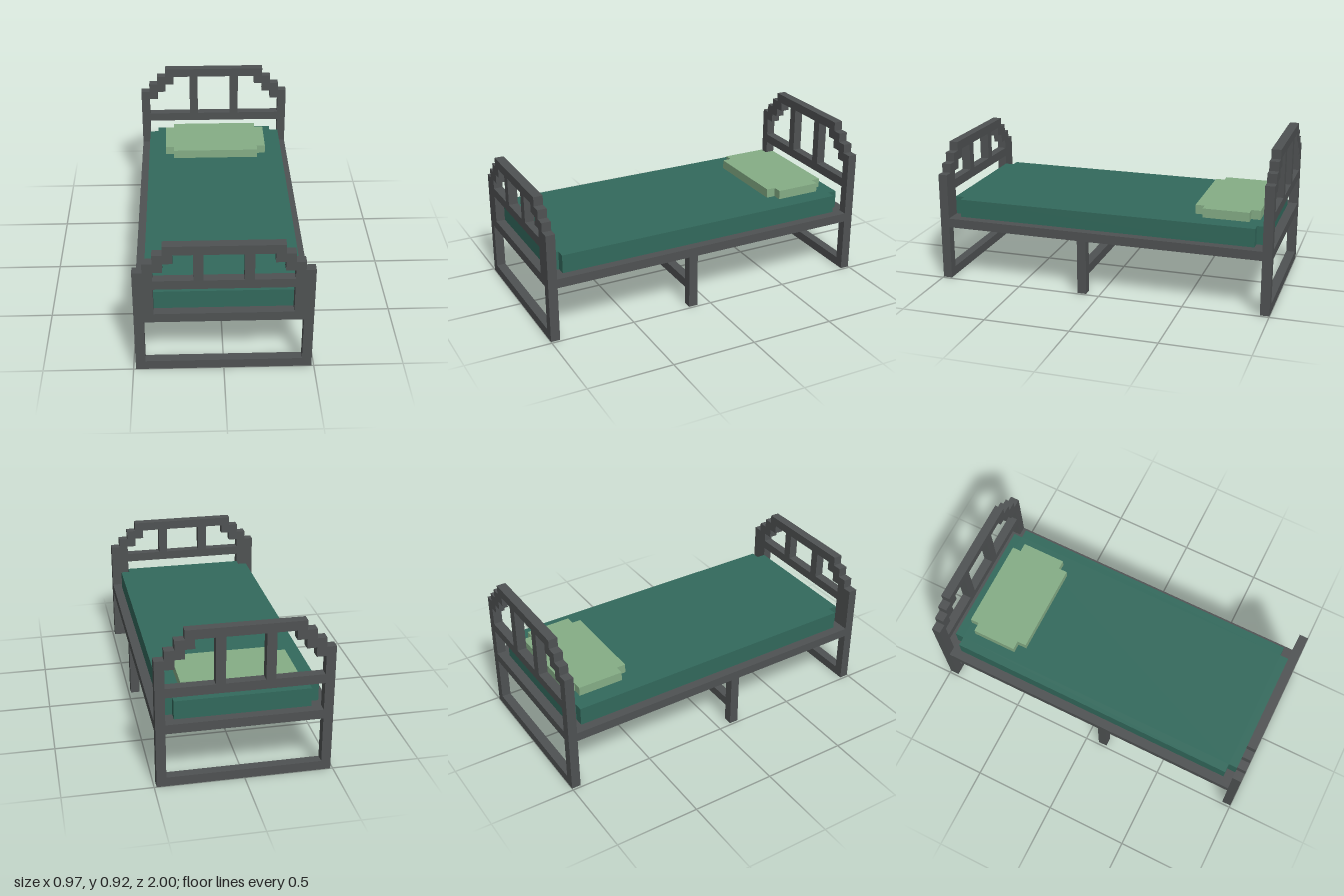
import * as THREE from 'three';

const U = 2 / 37; // one block of the stepped grid

const frameGrey = new THREE.MeshStandardMaterial({ color: 0x4f5253 });
frameGrey.name = 'frameGrey';
const blanketGreen = new THREE.MeshStandardMaterial({ color: 0x32695c });
blanketGreen.name = 'blanketGreen';
const pillowGreen = new THREE.MeshStandardMaterial({ color: 0x85ad86 });
pillowGreen.name = 'pillowGreen';

const scaled = (pts) => pts.map(([x, y]) => new THREE.Vector2(x * U, y * U));
const mirrored = (pts) => pts.map(([x, y]) => [-x, y]).reverse();
const rect = (x, y0, y1) => [[-x, y0], [x, y0], [x, y1], [-x, y1]];

function extrude(outline, holes, depth) {
  const shape = new THREE.Shape(scaled(outline));
  for (const h of holes) shape.holes.push(new THREE.Path(scaled(h)));
  return new THREE.ExtrudeGeometry(shape, { depth: depth * U, bevelEnabled: false });
}

function addMesh(group, name, geometry, material) {
  const mesh = new THREE.Mesh(geometry, material);
  mesh.name = name;
  group.add(mesh);
  return mesh;
}

// Box given by its limits in blocks
function addBox(group, name, [x0, x1], [y0, y1], [z0, z1], material) {
  const geometry = new THREE.BoxGeometry((x1 - x0) * U, (y1 - y0) * U, (z1 - z0) * U);
  addMesh(group, name, geometry, material)
    .position.set((x0 + x1) * U / 2, (y0 + y1) * U / 2, (z0 + z1) * U / 2);
}

// End board: stepped arch with legs, rails and two balusters
function boardGeometry(h, inner) {
  const half = [[9, 0], [9, h - 3], [8, h - 3], [8, h - 2], [7, h - 2], [7, h - 1], [6, h - 1], [6, h]];
  const side = [
    [3, 11], [inner, 11],
    ...(inner > 7 ? [[inner, h - 4], [7, h - 4]] : []),
    [7, h - 3], [6, h - 3], [6, h - 2], [5, h - 2], [5, h - 1], [3, h - 1],
  ];
  const holes = [rect(8, 1, 6), rect(inner, 7, 10), rect(2, 11, h - 1), side, mirrored(side)];
  return extrude([...half, ...mirrored(half)], holes, 1);
}

// Flat slab with one-block notches at its corners, base at y
function addNotched(group, name, x, [z0, z1], [y0, y1], material) {
  const half = [[x - 1, -z1], [x - 1, -z1 + 1], [x, -z1 + 1], [x, -z0 - 1], [x - 1, -z0 - 1], [x - 1, -z0]];
  const geometry = extrude([...half, ...mirrored(half)], [], y1 - y0);
  geometry.rotateX(-Math.PI / 2);
  addMesh(group, name, geometry, material).position.y = y0 * U;
}

export function createModel() {
  const bed = new THREE.Group();
  bed.name = 'bed';

  // End boards
  addMesh(bed, 'headboard', boardGeometry(17, 8), frameGrey).position.z = -18.5 * U;
  addMesh(bed, 'footboard', boardGeometry(15, 7), frameGrey).position.z = 17.5 * U;

  // Base and middle support
  addBox(bed, 'bedBase', [-9, 9], [6, 7], [-17.5, 17.5], frameGrey);
  for (const [name, x] of [['middleLegRight', -9], ['middleLegLeft', 8]]) {
    addBox(bed, name, [x, x + 1], [0, 6], [1.5, 2.5], frameGrey);
  }
  addBox(bed, 'middleStretcher', [-8, 8], [2, 3], [1.5, 2.5], frameGrey);

  // Bedding
  addNotched(bed, 'mattress', 8, [-17.5, 17.5], [7, 9], blanketGreen);
  addNotched(bed, 'pillow', 6, [-16.5, -9.5], [9, 10], pillowGreen);

  return bed;
}
